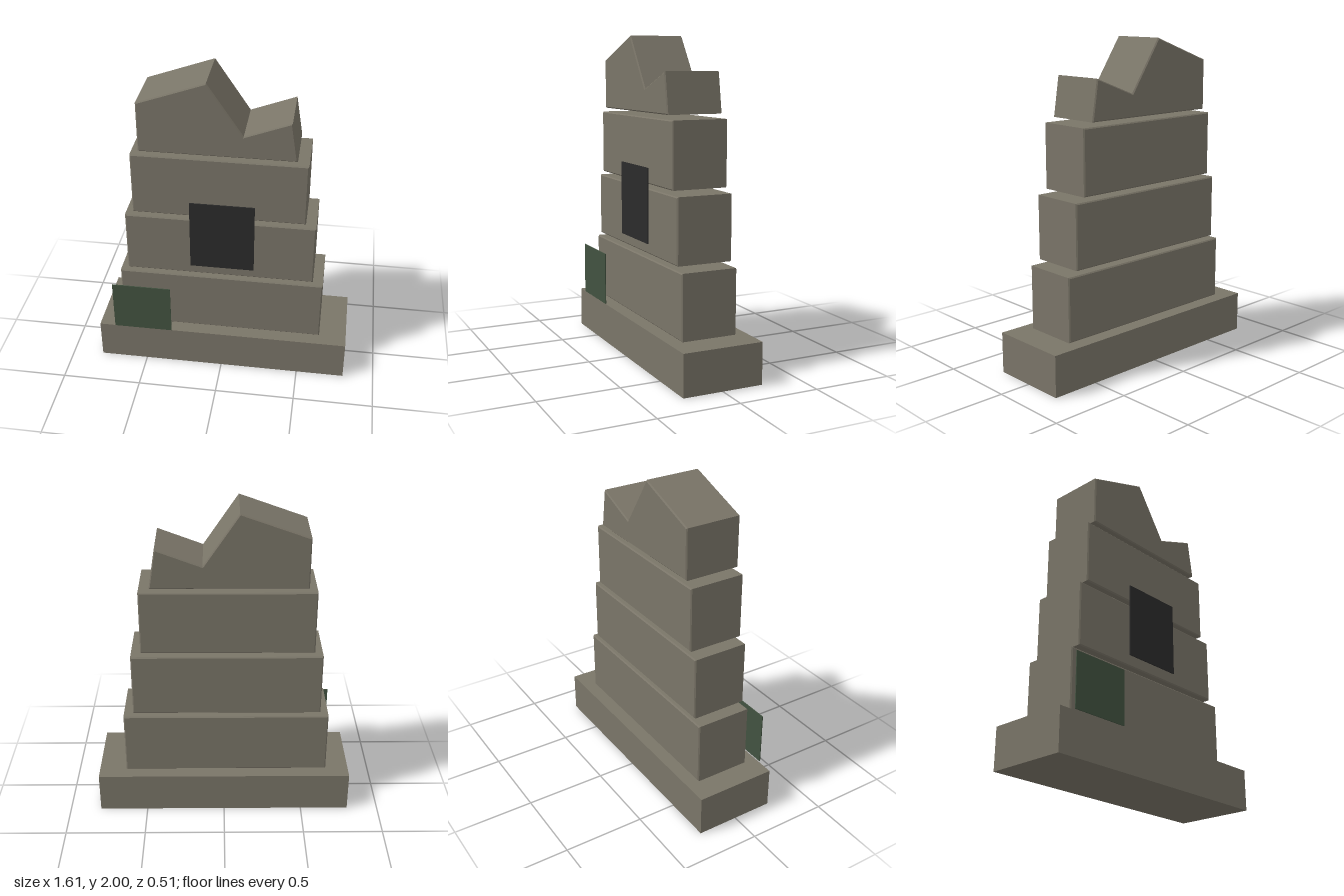
import * as THREE from 'three';

const Z = -0.0035; // depth centre of the stonework
const BEVEL = 0.007;

export function createModel() {
  const group = new THREE.Group();
  const mat = (name, color) => new THREE.MeshStandardMaterial({ name, color });
  const stone = mat('weathered stone', 0x7a7568);
  const dark = mat('dark opening', 0x2b2b2b);
  const moss = mat('moss green', 0x425240);

  const add = (name, geometry, material) => {
    const mesh = new THREE.Mesh(geometry, material);
    mesh.name = name;
    group.add(mesh);
    return mesh;
  };

  // Box given by its front rectangle and depth range
  const box = (name, x0, x1, y0, y1, z0, z1, material) =>
    add(name, new THREE.BoxGeometry(x1 - x0, y1 - y0, z1 - z0), material)
      .position.set((x0 + x1) / 2, (y0 + y1) / 2, (z0 + z1) / 2);

  // Stone slab: front outline extruded, with narrow chamfers front and back
  const slab = (name, points) => {
    const shape = new THREE.Shape(points.map(([x, y]) => new THREE.Vector2(x, y)));
    const depth = 0.355 - 2 * BEVEL;
    const geometry = new THREE.ExtrudeGeometry(shape, {
      depth, bevelEnabled: true, bevelSegments: 1,
      bevelSize: BEVEL, bevelThickness: BEVEL, bevelOffset: -BEVEL,
    });
    geometry.translate(0, 0, Z - depth / 2);
    add(name, geometry, stone);
  };

  // Plinth
  box('plinth', -0.804, 0.804, 0, 0.256, Z - 0.2535, Z + 0.2535, stone);

  // Three narrowing courses with thin gaps between them
  for (let i = 0; i < 3; i++) {
    const x0 = -0.658 + 0.053 * i, x1 = 0.632 - 0.063 * i;
    const y0 = 0.261 + 0.427 * i, y1 = y0 + 0.399;
    slab(`course${i + 1}`, [[x0, y0], [x1, y0], [x1, y1], [x0, y1]]);
  }

  // Broken, jagged top
  slab('brokenTop', [
    [-0.5, 1.541], [0.439, 1.541], [0.4, 1.787],
    [0.124, 1.682], [-0.09, 2], [-0.5, 1.853],
  ]);

  // Thin plates on the front
  box('darkPanel', -0.2, 0.198, 0.753, 1.215, 0.183, 0.189, dark);
  box('mossPatch', -0.7, -0.325, 0.262, 0.597, 0.252, 0.258, moss);

  return group;
}
